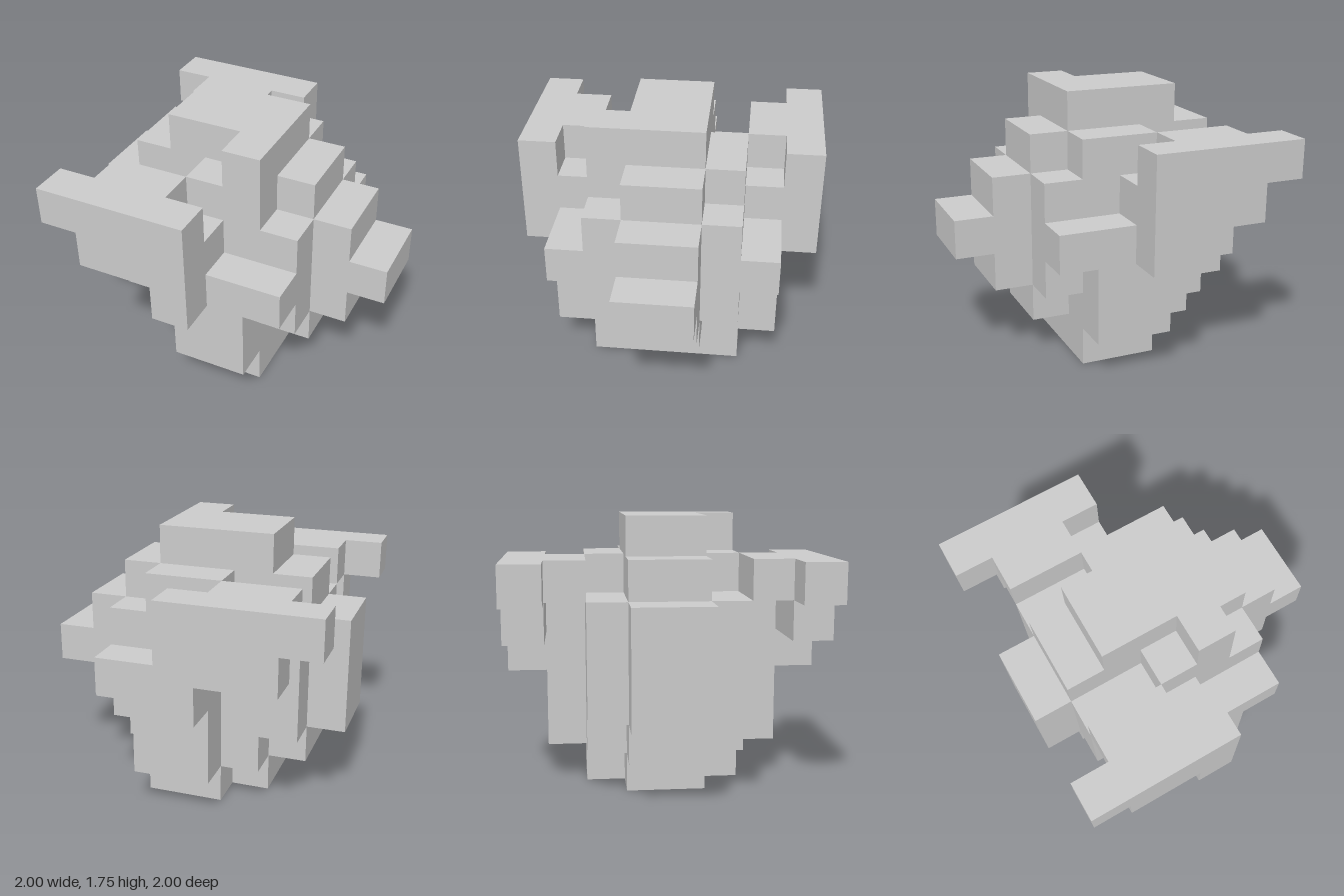
import * as THREE from 'three';
import { mergeGeometries } from 'three/addons/utils/BufferGeometryUtils.js';

const U = 0.25; // edge of one block

// Runs of blocks per part: [y, zFrom, zTo, xFrom, xTo], inclusive block indices
const both = (y, z, x0, x1) => [[y, z, z, x0, x1], [y, -1 - z, -1 - z, x0, x1]];
const PARTS = {
  base: [[0, -2, 1, -1, 0], [0, -1, 0, -2, -2]],
  body: [
    // stepped core
    [1, -1, 0, -3, 1], [2, -1, 0, -4, 2], [3, -1, 0, -4, 3],
    [4, -1, 0, -4, 2], [5, -1, 0, -3, 1],
    // inner side layers
    ...both(1, 1, -2, 0), ...both(2, 1, -3, 1), ...both(3, 1, -3, 1),
    ...both(4, 1, -3, 1), ...both(5, 1, -1, 0),
    // outer side layers
    ...both(1, 2, -1, 0), ...both(2, 2, -1, 0), ...both(3, 2, -1, 1), ...both(4, 2, -1, -1),
  ],
  // stepped plates standing off the front and back, with a lip joining the body
  sidePlates: [
    ...both(5, 2, -3, -2), ...both(5, 3, -4, -1), ...both(4, 3, -3, -1), ...both(3, 3, -1, -1),
  ],
  crest: [[6, -1, 0, -2, 0], [6, 1, 1, 0, 0]],
};

const key = (x, y, z) => `${x},${y},${z}`;

function blocksOf(runs) {
  const blocks = [];
  for (const [y, z0, z1, x0, x1] of runs)
    for (let z = z0; z <= z1; z++)
      for (let x = x0; x <= x1; x++) blocks.push([x, y, z]);
  return blocks;
}

// One block face per direction, turned outward
const FACES = [
  [[1, 0, 0], 0, Math.PI / 2], [[-1, 0, 0], 0, -Math.PI / 2],
  [[0, 1, 0], -Math.PI / 2, 0], [[0, -1, 0], Math.PI / 2, 0],
  [[0, 0, 1], 0, 0], [[0, 0, -1], 0, Math.PI],
].map(([dir, rx, ry]) => ({
  dir,
  geometry: new THREE.PlaneGeometry(U, U).rotateX(rx).rotateY(ry)
    .translate(dir[0] * U / 2, dir[1] * U / 2, dir[2] * U / 2),
}));

export function createModel() {
  const model = new THREE.Group();
  const material = new THREE.MeshStandardMaterial({ color: 0xcccccc, flatShading: true });
  const filled = new Set(Object.values(PARTS).flatMap(blocksOf).map((b) => key(...b)));

  for (const [name, runs] of Object.entries(PARTS)) {
    const faces = [];
    for (const [x, y, z] of blocksOf(runs))
      for (const { dir, geometry } of FACES) {
        // keep only faces that touch open air
        if (filled.has(key(x + dir[0], y + dir[1], z + dir[2]))) continue;
        faces.push(geometry.clone().translate((x + 0.5) * U, (y + 0.5) * U, (z + 0.5) * U));
      }
    const mesh = new THREE.Mesh(mergeGeometries(faces), material);
    mesh.name = name;
    model.add(mesh);
  }
  return model;
}
